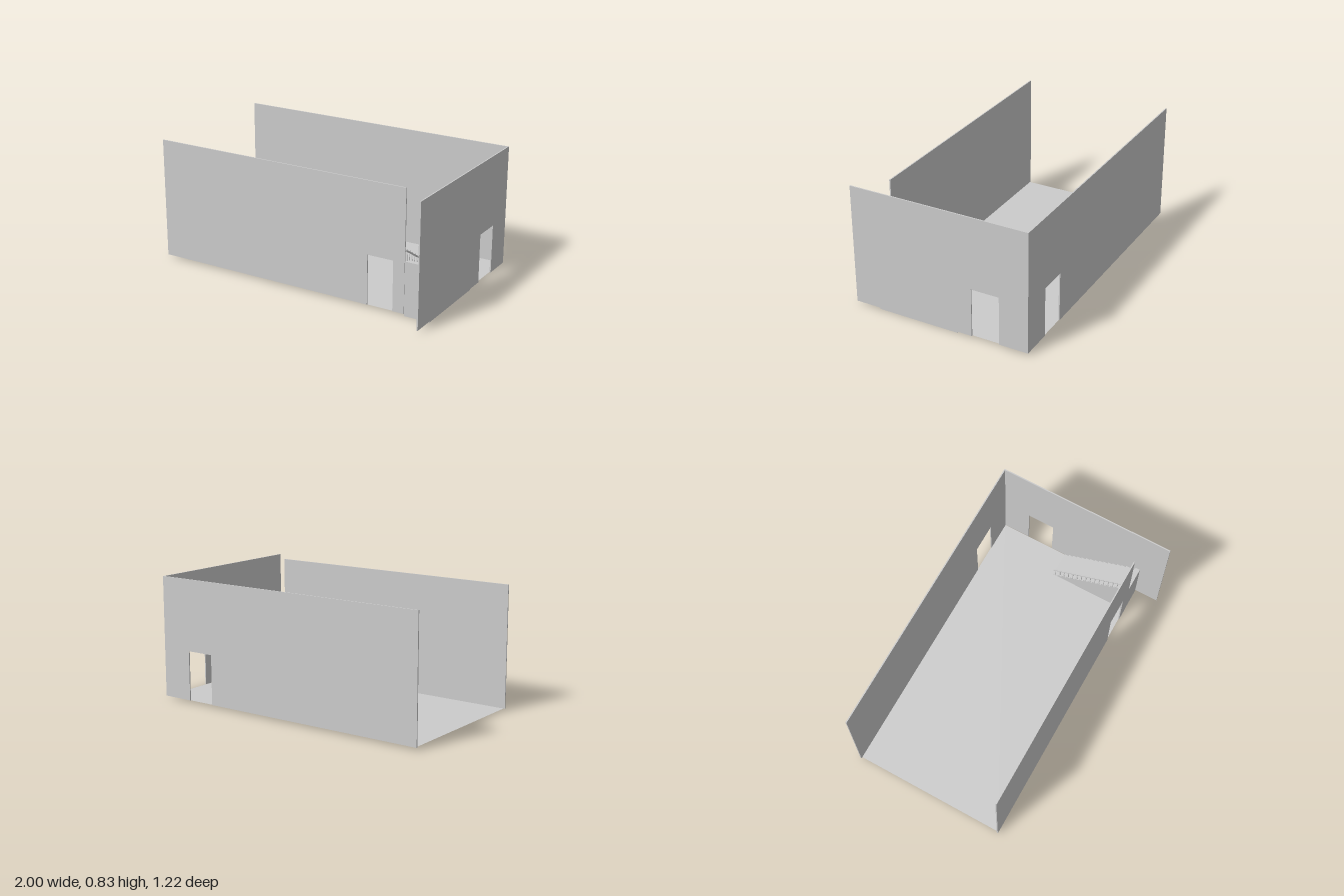
import * as THREE from 'three';

const FLOOR = 0.015, TOP = 0.83, THICK = 0.008;
const material = new THREE.MeshStandardMaterial({ color: 0xcccccc, flatShading: true });
const doubleSided = new THREE.MeshStandardMaterial({ color: 0xcccccc, side: THREE.DoubleSide });

function add(parent, name, geometry, mat = material) {
  const mesh = new THREE.Mesh(geometry, mat);
  mesh.name = name;
  parent.add(mesh);
  return mesh;
}

function extrude(points, depth) {
  const shape = new THREE.Shape(points.map(([x, y]) => new THREE.Vector2(x, y)));
  return new THREE.ExtrudeGeometry(shape, { depth, bevelEnabled: false });
}

// Wall from a to b with a doorway cut up from its lower edge
function wall(a, b, doorA, doorB, doorTop) {
  return extrude([
    [a, FLOOR], [doorA, FLOOR], [doorA, doorTop], [doorB, doorTop],
    [doorB, FLOOR], [b, FLOOR], [b, TOP], [a, TOP],
  ], THICK);
}

export function createModel() {
  const model = new THREE.Group();
  model.name = 'openRoom';

  // Floor sheet
  const floor = add(model, 'floor', new THREE.PlaneGeometry(1.98, 1.05), doubleSided);
  floor.rotation.x = -Math.PI / 2;
  floor.position.set(0, FLOOR, -0.082);

  // Walls
  add(model, 'frontWall', wall(-1, 0.817, 0.558, 0.738, 0.35)).position.z = 0.44;
  add(model, 'backWall', wall(-1, 1, 0.59, 0.785, 0.35)).position.z = -0.612;
  const side = add(model, 'sideWall', wall(-0.612, 0.612, 0.226, 0.416, 0.345));
  side.rotation.y = Math.PI / 2;
  side.position.x = 0.992;

  // Solid staircase climbing towards the front
  const stairs = new THREE.Group();
  stairs.name = 'stairs';
  model.add(stairs);
  const steps = 17, z0 = -0.12, z1 = 0.445, height = 0.36;
  const run = (z1 - z0) / steps, rise = height / steps;
  const profile = [[-z0, 0]];
  for (let i = 0; i < steps; i++) {
    profile.push([-(z0 + i * run), (i + 1) * rise], [-(z0 + (i + 1) * run), (i + 1) * rise]);
  }
  profile.push([-z1, 0]);
  const flight = add(stairs, 'steps', extrude(profile, 0.175));
  flight.rotation.y = Math.PI / 2;
  flight.position.x = 0.817;

  // Balusters, one on each step, under a sloping handrail
  const railX = 0.821, railHeight = 0.075;
  for (let i = 0; i < steps; i++) {
    const post = add(stairs, 'baluster', new THREE.BoxGeometry(0.005, railHeight, 0.005));
    post.position.set(railX, (i + 1) * rise + railHeight / 2, z0 + (i + 0.5) * run);
  }
  const low = rise / 2 + railHeight, high = height + railHeight;
  const rail = add(stairs, 'handrail', extrude([
    [-z0, low - 0.006], [-z0, low + 0.004], [-z1, high + 0.004], [-z1, high - 0.006],
  ], 0.01));
  rail.rotation.y = Math.PI / 2;
  rail.position.x = railX - 0.005;

  return model;
}
